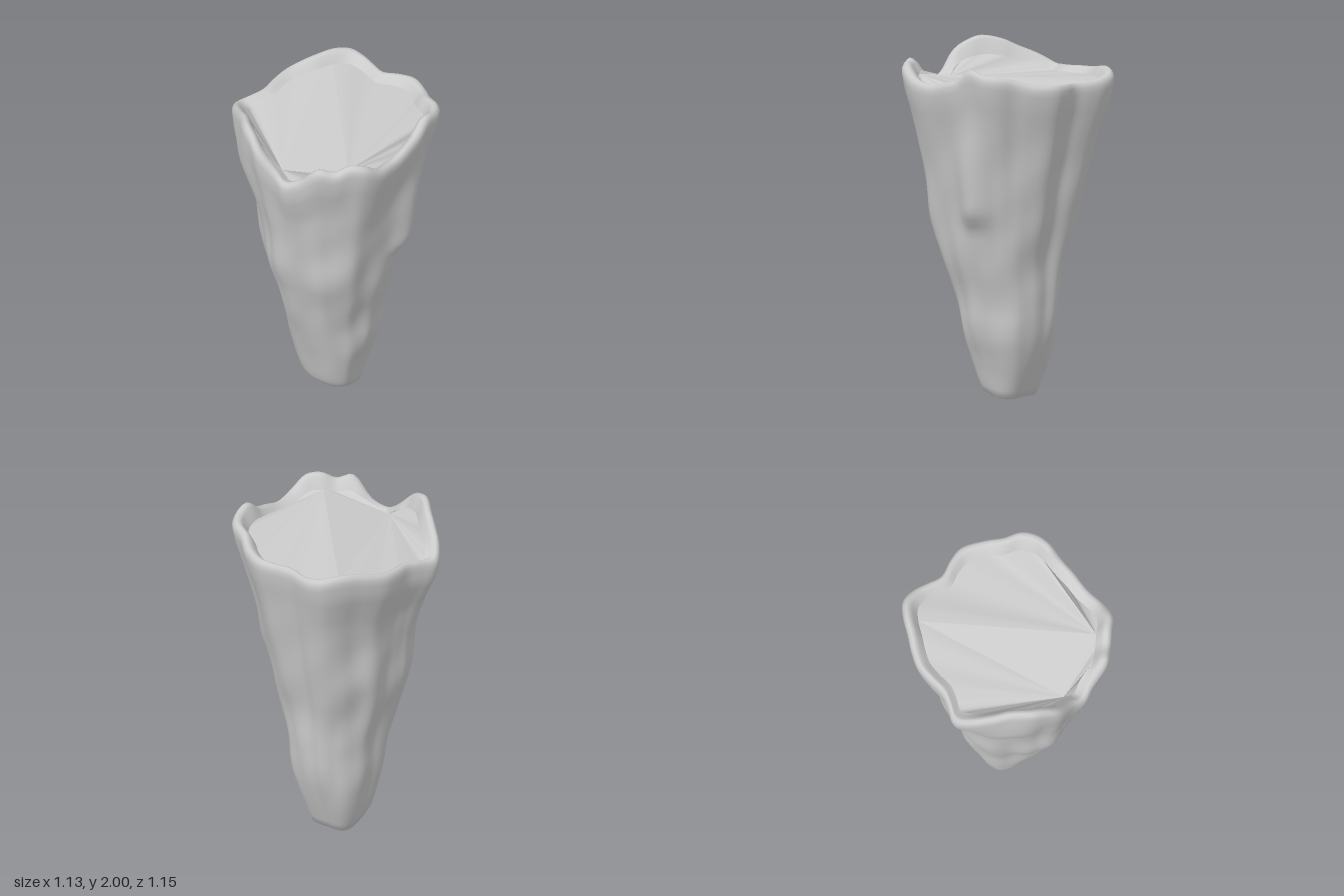
import * as THREE from 'three';

const { smoothstep, lerp, clamp } = THREE.MathUtils;

// Widest outline near the mouth, with crest height: [x, z, y]
const RIM = [
  [.56, 0, 1.9], [.56, -.1, 1.93], [.56, -.2, 2], [.55, -.3, 1.98], [.5, -.38, 1.97], [.41, -.43, 1.95],
  [.33, -.5, 1.92], [.2, -.57, 1.91], [.1, -.56, 1.9], [0, -.53, 1.89], [-.1, -.56, 1.89], [-.18, -.58, 1.9],
  [-.27, -.57, 1.92], [-.34, -.5, 1.93], [-.4, -.4, 1.92], [-.45, -.32, 1.9], [-.49, -.23, 1.88], [-.5, -.12, 1.87],
  [-.5, -.02, 1.86], [-.53, .06, 1.85], [-.57, .15, 1.84], [-.52, .25, 1.89], [-.43, .34, 1.94], [-.36, .4, 1.98],
  [-.27, .49, 2], [-.2, .53, 1.98], [-.12, .57, 1.93], [0, .56, 1.82], [.08, .575, 1.78], [.17, .55, 1.82],
  [.3, .54, 1.94], [.38, .48, 1.92], [.45, .42, 1.96], [.52, .36, 1.95], [.55, .26, 1.89], [.55, .12, 1.87],
];

// Reach of the wall per height: [y, -x, +x, -z, +z]
const REACH = [
  [.02, .12, .155, .135, .11], [.1, .165, .18, .175, .14], [.2, .185, .2, .21, .165], [.4, .24, .28, .28, .235],
  [.6, .26, .29, .305, .31], [.8, .315, .355, .315, .36], [1, .375, .39, .37, .43],
  [1.2, .395, .42, .415, .445], [1.4, .42, .455, .46, .48], [1.6, .475, .495, .51, .515],
  [1.67, .53, .515, .53, .545], [1.83, .57, .56, .58, .575],
];
const N = 144;

function reachAt(y) {
  let k = 0;
  while (k < REACH.length - 2 && REACH[k + 1][0] < y) k++;
  const f = clamp((y - REACH[k][0]) / (REACH[k + 1][0] - REACH[k][0]), 0, 1);
  return REACH[k].map((v, j) => lerp(v, REACH[k + 1][j], f));
}

// Averaged over a short height so that the wall has no hard bands
function smoothReach(y) {
  const d = Math.min(.07, y * .4), low = reachAt(y - d), high = reachAt(y + d);
  return reachAt(y).map((v, j) => (low[j] + v + high[j]) / 3);
}

function rimPoints() {
  const curve = new THREE.CatmullRomCurve3(RIM.map(([x, z, y]) => new THREE.Vector3(x, y, z)), true);
  return Array.from({ length: N }, (_, i) => curve.getPoint(i / N));
}

// Local ridge on the wall: angle, angular width, peak height, height spread, strength
const RIDGES = [
  [2.35, .4, 1.55, .17, .1], [.8, .4, .95, .25, .04], [-2.35, .3, 1.1, .14, .04],
];

// One horizontal section: squarish at the foot, taking on the mouth outline higher up
function wallRing(rim, y) {
  const [, xm, xp, zm, zp] = smoothReach(y), t = y / 1.83;
  const square = .14 * (1 - smoothstep(y, .15, .55));
  const spur = .13 * smoothstep(y, 1, 1.13) * (1 - smoothstep(y, 1.15, 1.75));
  const fade = Math.sin(Math.PI * Math.min(1, t));
  return rim.map((p) => {
    const u = p.x / (p.x > 0 ? .56 : .57), w = p.z / (p.z > 0 ? .575 : .58);
    const a = Math.atan2(w, u);
    const shape = lerp(1, Math.hypot(u, w), t) + square * Math.sin(2 * a) ** 2;
    const folds = .02 * Math.sin(7 * a + 2.2 * y) + .013 * Math.sin(13 * a - 1.7 * y + 1)
      + .014 * Math.sin(4 * a + 9 * y) * Math.cos(6 * y + 2 * a);
    let r = shape * (1 + fade * folds + spur * Math.exp(-(((a + .26) / .22) ** 2)));
    for (const [angle, width, height, spread, gain] of RIDGES) {
      r += gain * Math.exp(-(((a - angle) / width) ** 2) - ((y - height) / spread) ** 2);
    }
    const c = Math.cos(a) * r, s = Math.sin(a) * r;
    const foot = (1 - smoothstep(y, .02, .12)) * (.018 * Math.sin(a) + .006 * Math.sin(3 * a));
    return new THREE.Vector3(c * (c > 0 ? xp : xm), y + foot + t ** 4 * (p.y - 1.9), s * (s > 0 ? zp : zm));
  });
}

// Skin closed rings, listed from the foot up and over the lip
function skin(rings) {
  const pos = [], index = [];
  rings.forEach((ring) => ring.forEach((p) => pos.push(p.x, p.y, p.z)));
  for (let k = 0; k < rings.length - 1; k++) {
    for (let i = 0; i < N; i++) {
      const j = (i + 1) % N, a = k * N + i, b = k * N + j;
      index.push(a, b, b + N, a, b + N, a + N);
    }
  }
  const geo = new THREE.BufferGeometry();
  geo.setAttribute('position', new THREE.Float32BufferAttribute(pos, 3));
  geo.setIndex(index);
  geo.computeVertexNormals();
  return geo;
}

// Creased membrane closing the mouth: two fans meeting along long folds
function membrane(ring) {
  const pos = [];
  const tri = (...ids) => ids.forEach((i) => pos.push(...ring[i % N].toArray()));
  const fan = (hub, from, to) => {
    for (let i = from; i < to; i++) tri(hub, i, i + 1);
  };
  const corner = 32 * 4, notch = 27 * 4, back = 13 * 4;
  fan(corner, corner + 1, N + back);
  fan(notch, back, notch - 1);
  fan(notch, notch + 1, corner);
  tri(corner, back, notch);
  const geo = new THREE.BufferGeometry();
  geo.setAttribute('position', new THREE.Float32BufferAttribute(pos, 3));
  geo.computeVertexNormals();
  return geo;
}

export function createModel() {
  const group = new THREE.Group();
  group.name = 'roughTaperedVessel';
  const rim = rimPoints();

  // Foot, wall, rounded lip
  const foot = wallRing(rim, .02);
  const rings = [0, .5, .85].map((s) => foot.map((p) => new THREE.Vector3(p.x * s, .025 + (p.y - .025) * s, p.z * s)));
  rings.push(foot);
  for (let k = 1; k <= 44; k++) rings.push(wallRing(rim, .02 + 1.81 * k / 44));
  const lip = [[.995, -.035], [.98, -.012], [.955, 0], [.925, -.004], [.895, -.018]];
  lip.forEach(([s, d]) => rings.push(rim.map((p) => new THREE.Vector3(p.x * s, p.y + d, p.z * s))));
  const inner = rim.map((p) => new THREE.Vector3(
    p.x * .845, Math.min(1.85 + (p.y - 1.9) * .5, p.y - .03), p.z * .845));
  rings.push(inner);

  const wall = new THREE.Mesh(skin(rings),
    new THREE.MeshStandardMaterial({ color: 0xcccccc, side: THREE.DoubleSide }));
  wall.name = 'wall';

  const cover = new THREE.Mesh(membrane(inner),
    new THREE.MeshStandardMaterial({ color: 0xcccccc, flatShading: true, side: THREE.DoubleSide }));
  cover.name = 'mouthMembrane';

  group.add(wall, cover);
  return group;
}
